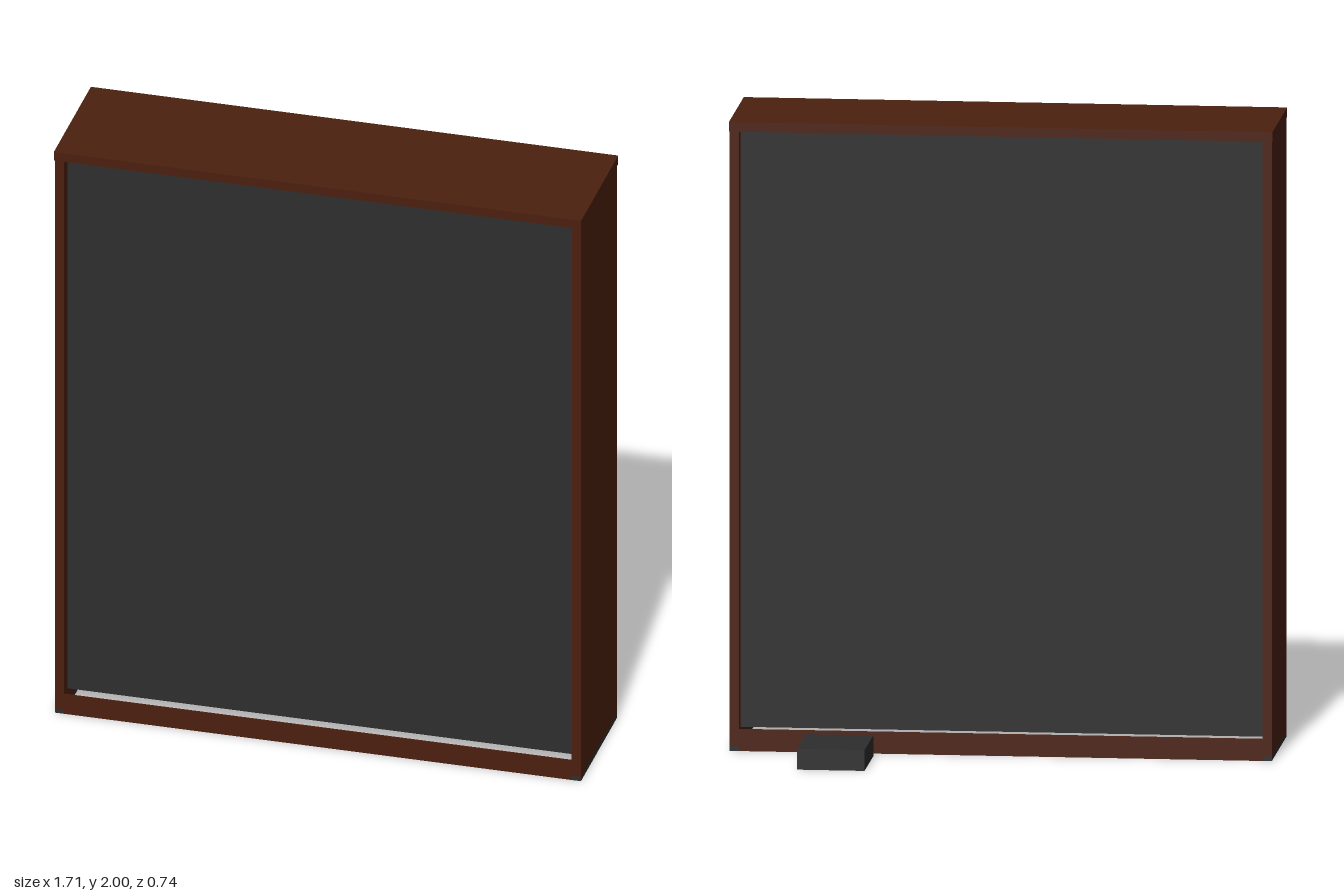
import * as THREE from 'three';

export function createModel() {
  const model = new THREE.Group();
  const wood = new THREE.MeshStandardMaterial({ color: 0x4c200e });
  wood.name = 'dark brown wood';
  const dark = new THREE.MeshStandardMaterial({ color: 0x2e2e2e });
  dark.name = 'charcoal';

  // Axis-aligned box given by its lower and upper corners
  const box = (parent, name, mat, [x0, y0, z0], [x1, y1, z1]) => {
    const mesh = new THREE.Mesh(new THREE.BoxGeometry(x1 - x0, y1 - y0, z1 - z0), mat);
    mesh.position.set((x0 + x1) / 2, (y0 + y1) / 2, (z0 + z1) / 2);
    mesh.name = name;
    parent.add(mesh);
    return mesh;
  };

  // Cabinet, open underneath
  const cabinet = new THREE.Group();
  cabinet.name = 'cabinet';
  model.add(cabinet);
  const W = 0.853, IN = 0.823, ZB = -0.066, ZF = 0.366, RAIL = 0.07, TOP = 1.97;
  box(cabinet, 'topBoard', wood, [-0.855, TOP, -0.071], [0.855, 2, 0.371]);

  // Side boards standing on dark foot strips
  for (const [side, x0, x1] of [['left', IN, W], ['right', -W, -IN]]) {
    box(cabinet, side + 'Side', wood, [x0, 0.015, ZB], [x1, TOP, ZF]);
    box(cabinet, side + 'Foot', dark, [x0, 0, ZB], [x1, 0.015, ZF]);
  }

  // Thin bottom rails, with the grille panels set back behind them
  const T = 0.004, INSET = 0.04;
  for (const [face, z, s] of [['front', ZF, -1], ['back', ZB, 1]]) {
    const rail = [z, z + s * T].sort((a, b) => a - b);
    const panel = [z + s * INSET, z + s * (INSET + T)].sort((a, b) => a - b);
    box(cabinet, face + 'Rail', wood, [-IN, 0, rail[0]], [IN, RAIL, rail[1]]);
    box(cabinet, face + 'Panel', dark, [-IN, RAIL, panel[0]], [IN, TOP, panel[1]]);
  }

  // Small hollow box on the floor behind, open underneath
  const smallBox = new THREE.Group();
  smallBox.name = 'smallBox';
  model.add(smallBox);
  const H = 0.066, t = 0.005, x0 = 0.396, x1 = 0.608, z0 = -0.371, z1 = -0.11;
  box(smallBox, 'lid', dark, [x0, H - t, z0], [x1, H, z1]);
  box(smallBox, 'rearWall', dark, [x0, 0, z0], [x1, H - t, z0 + t]);
  box(smallBox, 'frontWall', dark, [x0, 0, z1 - t], [x1, H - t, z1]);
  box(smallBox, 'leftWall', dark, [x1 - t, 0, z0 + t], [x1, H - t, z1 - t]);
  box(smallBox, 'rightWall', dark, [x0, 0, z0 + t], [x0 + t, H - t, z1 - t]);

  return model;
}
